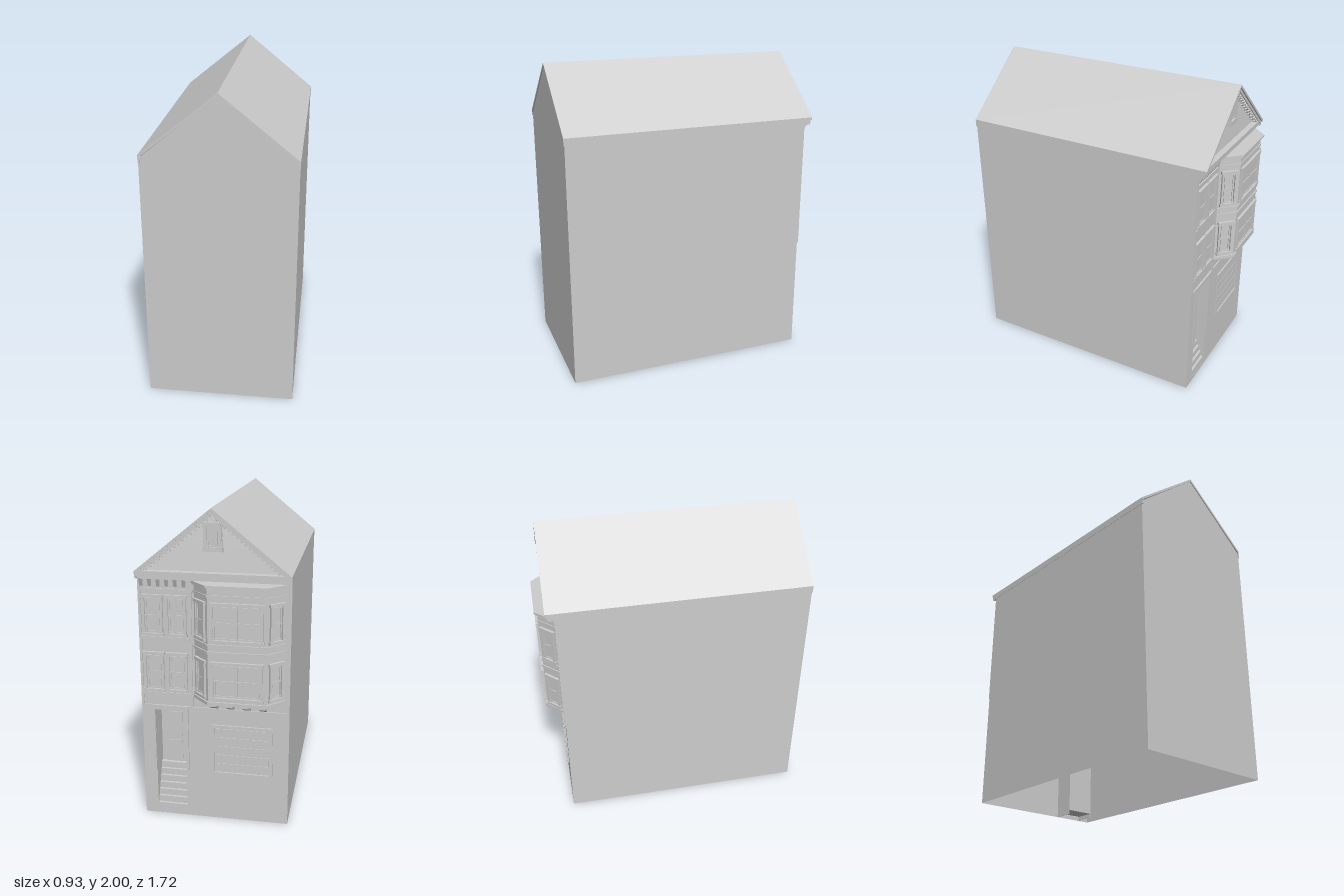
import * as THREE from 'three';

export function createModel() {
  const model = new THREE.Group();
  const grey = new THREE.MeshStandardMaterial({ color: 0xcccccc, side: THREE.DoubleSide });
  grey.name = 'plaster grey';

  const W = 0.463, FRONT = 0.855, BACK = -0.74, EAVE = 1.6, PEAK = 1.985;

  function add(name, geometry, parent = model) {
    const mesh = new THREE.Mesh(geometry, grey);
    mesh.name = name;
    parent.add(mesh);
    return mesh;
  }
  // Box given by its limits
  function box(name, x0, x1, y0, y1, z0, z1, parent = model) {
    const g = new THREE.BoxGeometry(Math.abs(x1 - x0), Math.abs(y1 - y0), Math.abs(z1 - z0));
    g.translate((x0 + x1) / 2, (y0 + y1) / 2, (z0 + z1) / 2);
    return add(name, g, parent);
  }
  const shapeOf = (pts) => new THREE.Shape(pts.map(([x, y]) => new THREE.Vector2(x, y)));
  const extrude = (shape, depth) => new THREE.ExtrudeGeometry(shape, { depth, bevelEnabled: false });

  // Shell, open underneath
  const gableOutline = [[-W, 0], [W, 0], [W, EAVE], [0, PEAK], [-W, EAVE]];
  add('frontWall', new THREE.ShapeGeometry(shapeOf(gableOutline))).position.z = FRONT;
  const door = { x0: 0.185, x1: 0.38, y0: 0.03, y1: 0.74, z: -0.605 };
  const facade = shapeOf(gableOutline);
  facade.holes.push(new THREE.Path([
    [door.x0, door.y0], [door.x0, door.y1], [door.x1, door.y1], [door.x1, door.y0],
  ].map(([x, y]) => new THREE.Vector2(x, y))));
  add('facadeWall', new THREE.ShapeGeometry(facade).rotateY(Math.PI).scale(-1, 1, 1)).position.z = BACK;
  for (const s of [-1, 1]) {
    const wall = add('sideWall', new THREE.PlaneGeometry(FRONT - BACK, EAVE));
    wall.rotation.y = s * Math.PI / 2;
    wall.position.set(s * W, EAVE / 2, (FRONT + BACK) / 2);
    box('eaveTrim', s * 0.455, s * 0.465, 1.575, 1.605, -0.785, 0.86);
  }

  // Roof: a thin chevron slab
  const chevron = (drop) => shapeOf([
    [-0.465, 1.622], [-0.465, 1.622 - drop], [0, 2 - drop], [0.465, 1.622 - drop], [0.465, 1.622], [0, 2],
  ]);
  add('roof', extrude(chevron(0.018), 1.66)).position.z = -0.8;
  add('rakeBoard', extrude(chevron(0.04), 0.045)).position.z = -0.79;

  // Dentils along the rake
  const slope = Math.atan2(0.378, 0.465);
  for (const s of [-1, 1]) {
    for (let i = 0; i < 18; i++) {
      const t = (i + 1) / 19;
      const d = add('rakeDentil', new THREE.BoxGeometry(0.014, 0.014, 0.04));
      d.position.set(s * 0.465 * t, 1.952 - 0.378 * t, -0.765);
      d.rotation.z = -s * slope;
    }
  }

  // Overlapping boards across the gable
  for (let i = 0; i < 5; i++) {
    const y = 1.625 + i * 0.065, h = 0.065;
    const half = (yy) => Math.max(0.01, (1.965 - yy) / 0.378 * 0.465);
    const b = extrude(shapeOf([[-half(y), y], [half(y), y], [half(y + h), y + h], [-half(y + h), y + h]]), 0.012);
    const p = b.attributes.position;
    for (let v = 0; v < p.count; v++) if (p.getZ(v) < 0.001 && p.getY(v) > y + 0.01) p.setZ(v, 0.008);
    b.computeVertexNormals();
    add('gableBoard', b).position.z = BACK - 0.012;
  }

  // Window facing -z, centred on its own origin
  function makeWindow(name, w, h, cols, rows, t = 0.014) {
    const g = new THREE.Group();
    g.name = name;
    const a = w / 2, b = h / 2;
    box('glass', -a, a, -b, b, -0.003, 0.002, g);
    for (const s of [-1, 1]) {
      box('jamb', s * a, s * (a - t), -b, b, -0.014, 0, g);
      box('sash', s * (a - t - 0.005), s * (a - t - 0.012), -b + t, b - t, -0.008, 0, g);
      box('sashRail', -a + t, a - t, s * (b - t - 0.005), s * (b - t - 0.012), -0.008, 0, g);
    }
    box('head', -a - 0.006, a + 0.006, b - t, b + 0.004, -0.017, 0, g);
    box('sill', -a - 0.006, a + 0.006, -b - 0.004, -b + t, -0.017, 0, g);
    for (let i = 1; i < cols; i++) {
      const x = -a + w * i / cols;
      box('mullion', x - 0.004, x + 0.004, -b + t, b - t, -0.008, 0, g);
    }
    for (let i = 1; i < rows; i++) {
      const y = -b + h * i / rows;
      box('glazingBar', -a + t, a - t, y - 0.004, y + 0.004, -0.008, 0, g);
    }
    model.add(g);
    return g;
  }
  makeWindow('atticWindow', 0.11, 0.16, 1, 1, 0.02).position.set(0, 1.83, BACK - 0.012);

  // Bay: footprint grown by e, running between two heights
  const CX = -0.155;
  function baySlab(name, y0, y1, e) {
    const k = e * 0.414;
    const g = extrude(shapeOf([
      [CX - 0.275 - e * 1.0, 0.74], [CX + 0.275 + e * 1.0, 0.74],
      [CX + 0.175 + k, 0.84 + e], [CX - 0.175 - k, 0.84 + e],
    ]), y1 - y0);
    add(name, g.rotateX(-Math.PI / 2)).position.y = y0;
  }
  baySlab('bayBody', 0.83, 1.56, 0);
  baySlab('bayFloorBand', 0.83, 0.85, 0.01);
  baySlab('bayMidBand', 1.155, 1.168, 0.008);
  baySlab('bayMidBand', 1.2, 1.212, 0.008);
  baySlab('bayTopBand', 1.495, 1.508, 0.006);
  baySlab('bayCap', 1.545, 1.555, 0.012);
  baySlab('bayCap', 1.555, 1.568, 0.02);

  // Wedge brackets carrying the bay
  for (let i = 0; i < 4; i++) {
    const wedge = extrude(shapeOf([[0.74, 0.765], [0.838, 0.815], [0.838, 0.83], [0.74, 0.83]]), 0.04);
    add('bayBracket', wedge.rotateY(Math.PI / 2)).position.x = CX - 0.17 + i * 0.1;
  }

  // Windows on both storeys
  for (const [y, h] of [[1.345, 0.235], [0.985, 0.235]]) {
    makeWindow('bayWindow', 0.31, h, 2, 2).position.set(CX, y, -0.84);
    for (const s of [-1, 1]) {
      const side = makeWindow('baySideWindow', 0.1, h, 1, 2);
      side.position.set(CX + s * 0.225, y, -0.79);
      side.rotation.y = -s * Math.PI / 4;
    }
    for (const x of [0.375, 0.23]) makeWindow('wallWindow', 0.125, h + 0.015, 1, 2).position.set(x, y, BACK);
    box('windowLedge', 0.15, 0.455, y - 0.148, y - 0.132, BACK - 0.014, BACK);
  }

  // Wall trims
  box('beltCourse', -W, W, 0.75, 0.765, BACK - 0.008, BACK);
  for (const x of [0.455, 0.143, -0.455]) box('pilaster', x - 0.008, x + 0.008, 0.765, 1.57, BACK - 0.008, BACK);
  box('cornice', -0.465, 0.465, 1.572, 1.59, -0.772, BACK);
  box('cornice', -0.465, 0.465, 1.59, 1.622, -0.788, BACK);
  box('frieze', 0.15, W, 1.5, 1.512, BACK - 0.008, BACK);
  for (let i = 0; i < 6; i++) {
    const x = 0.17 + i * 0.052;
    const g = extrude(shapeOf([[0.74, 1.525], [0.75, 1.525], [0.77, 1.572], [0.74, 1.572]]), 0.018);
    add('corniceBracket', g.rotateY(Math.PI / 2)).position.x = x;
  }

  // Entrance recess with stairs and door
  for (const x of [door.x0, door.x1]) box('recessWall', x - 0.001, x + 0.001, 0, door.y1, BACK, door.z);
  box('recessCeiling', door.x0, door.x1, door.y1 - 0.002, door.y1, BACK, door.z);
  box('recessBack', door.x0, door.x1, 0.3, door.y1, door.z - 0.002, door.z);
  const steps = 7;
  for (let i = 0; i < steps; i++) {
    box('step', door.x0, door.x1, 0.03 + i * 0.041, 0.03 + (i + 1) * 0.041, BACK + 0.003 + i * 0.0165, door.z);
  }
  box('doorLeaf', 0.215, 0.35, 0.317, 0.7, door.z - 0.01, door.z);
  for (const [y0, y1] of [[0.345, 0.47], [0.5, 0.67]]) box('doorPanel', 0.24, 0.325, y0, y1, door.z - 0.016, door.z);
  box('doorTrim', 0.168, door.x0, 0.32, 0.755, BACK - 0.01, BACK);
  box('doorTrim', door.x1, 0.402, 0.32, 0.755, BACK - 0.01, BACK);
  box('doorLintel', 0.168, 0.402, door.y1 - 0.005, 0.765, BACK - 0.012, BACK);

  // Garage door: frame and five slats
  const G = { x0: -0.363, x1: 0.025, y0: 0.32, y1: 0.655 };
  box('garageFrame', G.x0, G.x0 + 0.022, G.y0, G.y1, BACK - 0.01, BACK);
  box('garageFrame', G.x1 - 0.022, G.x1, G.y0, G.y1, BACK - 0.01, BACK);
  box('garageFrame', G.x0, G.x1, G.y1 - 0.02, G.y1, BACK - 0.01, BACK);
  box('garageFrame', G.x0, G.x1, G.y0, G.y0 + 0.012, BACK - 0.01, BACK);
  for (let i = 0; i < 5; i++) {
    const y = G.y0 + 0.016 + i * 0.0595;
    box('garageSlat', G.x0 + 0.026, G.x1 - 0.026, y, y + 0.055, BACK - 0.004, BACK);
  }
  return model;
}
